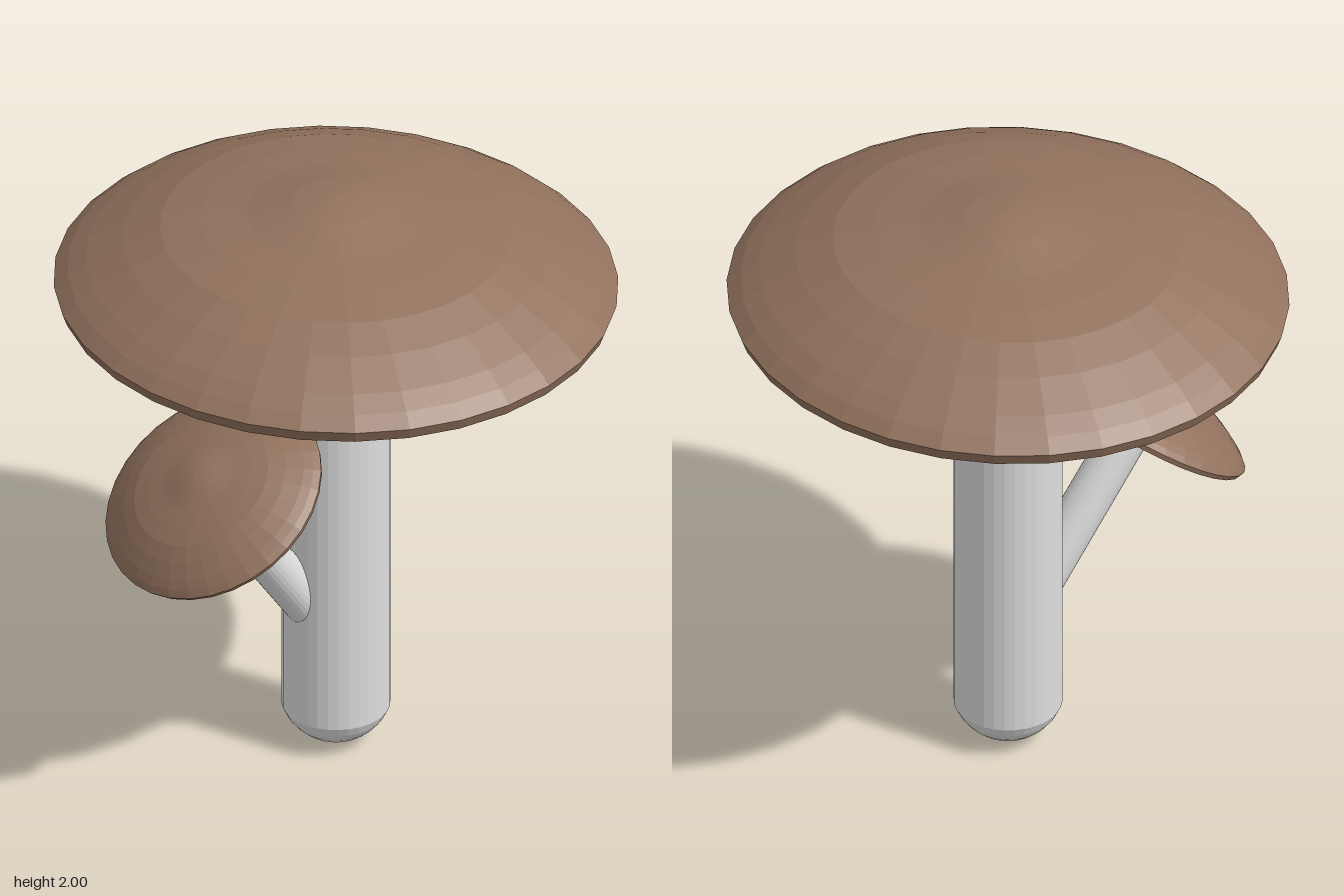
import * as THREE from 'three';

const SIDES = 32;
const capMaterial = new THREE.MeshStandardMaterial({ color: 0x92725d, flatShading: true });
capMaterial.name = 'capBrown';
const stemMaterial = new THREE.MeshStandardMaterial({ color: 0xdedede, flatShading: true });
stemMaterial.name = 'stemGrey';

function lathe(points, material, name) {
  const profile = points.map(([r, y]) => new THREE.Vector2(r, y));
  const mesh = new THREE.Mesh(new THREE.LatheGeometry(profile, SIDES), material);
  mesh.name = name;
  return mesh;
}

function createMushroom(name) {
  const mushroom = new THREE.Group();
  mushroom.name = name;

  // Straight stem with a rounded foot, running up into the hollow cap
  const R = 0.183, foot = [];
  const end = Math.asin(0.172 / R);
  for (let i = 0; i <= 6; i++) {
    const a = (end * i) / 6;
    foot.push([R * Math.sin(a), R * (1 - Math.cos(a))]);
  }
  mushroom.add(lathe([...foot, [0.172, 1.89], [0, 1.89]], stemMaterial, 'stem'));

  // Cap: hollow conical underside, thin lip, domed top with a low central bump
  const cap = lathe([
    [0, 1.91], [0.82, 1.71], [0.9, 1.645], [0.915, 1.685],
    [0.87, 1.725], [0.81, 1.765], [0.69, 1.83], [0.57, 1.883], [0.44, 1.915],
    [0.29, 1.943], [0.21, 1.963], [0.14, 1.981], [0.07, 1.993], [0, 2],
  ], capMaterial, 'cap');
  cap.scale.z = 0.963;
  mushroom.add(cap);
  return mushroom;
}

export function createModel() {
  const model = new THREE.Group();
  model.name = 'mushrooms';
  model.add(createMushroom('mainMushroom'));

  // Small mushroom leaning forward out of the main stem
  const side = createMushroom('sideMushroom');
  side.scale.setScalar(0.427);
  side.rotation.x = THREE.MathUtils.degToRad(34.6);
  side.position.set(0, 0.474, 0.074);
  model.add(side);
  return model;
}
